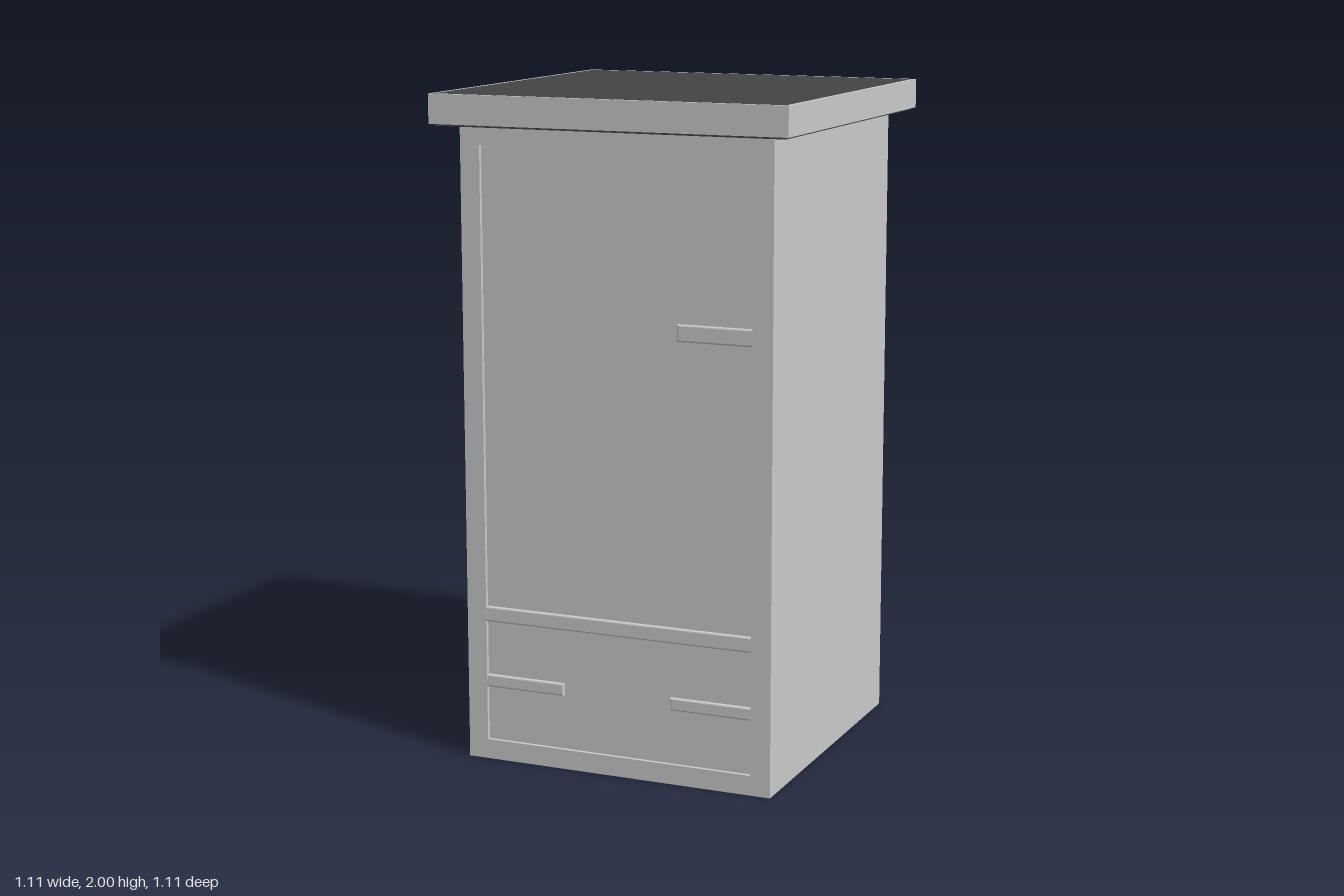
import * as THREE from 'three';

export function createModel() {
  const group = new THREE.Group();
  group.name = 'cabinet';
  const grey = new THREE.MeshStandardMaterial({ color: 0xcccccc });
  const dark = new THREE.MeshStandardMaterial({ color: 0x444444 });

  const HALF = 0.487;       // body half width
  const TOP = 1.913;        // underside of the cap
  const RECESS = 0.012;     // depth of the front panels
  const OPEN = { x: 0.425, y0: 0.06, y1: 1.85 };

  function add(name, geometry, material, x = 0, y = 0, z = 0) {
    const mesh = new THREE.Mesh(geometry, material);
    mesh.name = name;
    mesh.position.set(x, y, z);
    group.add(mesh);
    return mesh;
  }

  function rectangle(target, x0, y0, x1, y1) {
    target.moveTo(x0, y0);
    target.lineTo(x1, y0);
    target.lineTo(x1, y1);
    target.lineTo(x0, y1);
    target.closePath();
    return target;
  }

  // Main body, its front face being the recessed panels
  const depth = 2 * HALF - RECESS;
  add('body', new THREE.BoxGeometry(2 * HALF, TOP, depth), grey, 0, TOP / 2, -RECESS / 2);

  // Flat frame around the front opening
  const frame = rectangle(new THREE.Shape(), -HALF, 0, HALF, TOP);
  frame.holes.push(rectangle(new THREE.Path(), -OPEN.x, OPEN.y0, OPEN.x, OPEN.y1));
  add('frontFrame', new THREE.ExtrudeGeometry(frame, { depth: RECESS, bevelEnabled: false }),
    grey, 0, 0, HALF - RECESS);

  // Soft-edged bars across the front; outer ends tuck into the frame
  const BEVEL = 0.005;
  function bar(name, x0, x1, y0, y1) {
    const shape = rectangle(new THREE.Shape(), x0 + BEVEL, y0 + BEVEL, x1 - BEVEL, y1 - BEVEL);
    const geometry = new THREE.ExtrudeGeometry(shape, {
      depth: RECESS - BEVEL, bevelThickness: BEVEL, bevelSize: BEVEL, bevelSegments: 3,
    });
    add(name, geometry, grey, 0, 0, HALF - RECESS - 0.0005);
  }
  const end = OPEN.x + BEVEL;
  bar('crossRail', -end, end, 0.428, 0.474);
  bar('leftLowerBar', 0.172, end, 0.225, 0.263);
  bar('rightLowerBar', -end, -0.172, 0.225, 0.263);
  bar('upperBar', 0.194, end, 1.317, 1.367);

  // Overhanging cap: grey rim around a dark slab
  const RIM = 0.553, SLAB = 0.541;
  const rim = rectangle(new THREE.Shape(), -RIM, -RIM, RIM, RIM);
  rim.holes.push(rectangle(new THREE.Path(), -SLAB, -SLAB, SLAB, SLAB));
  const rimGeometry = new THREE.ExtrudeGeometry(rim, { depth: 2 - TOP, bevelEnabled: false });
  rimGeometry.rotateX(-Math.PI / 2);
  add('capRim', rimGeometry, grey, 0, TOP, 0);
  const slabBottom = TOP - 0.006;
  add('capSlab', new THREE.BoxGeometry(2 * SLAB, 2 - slabBottom, 2 * SLAB), dark,
    0, (2 + slabBottom) / 2, 0);

  return group;
}
